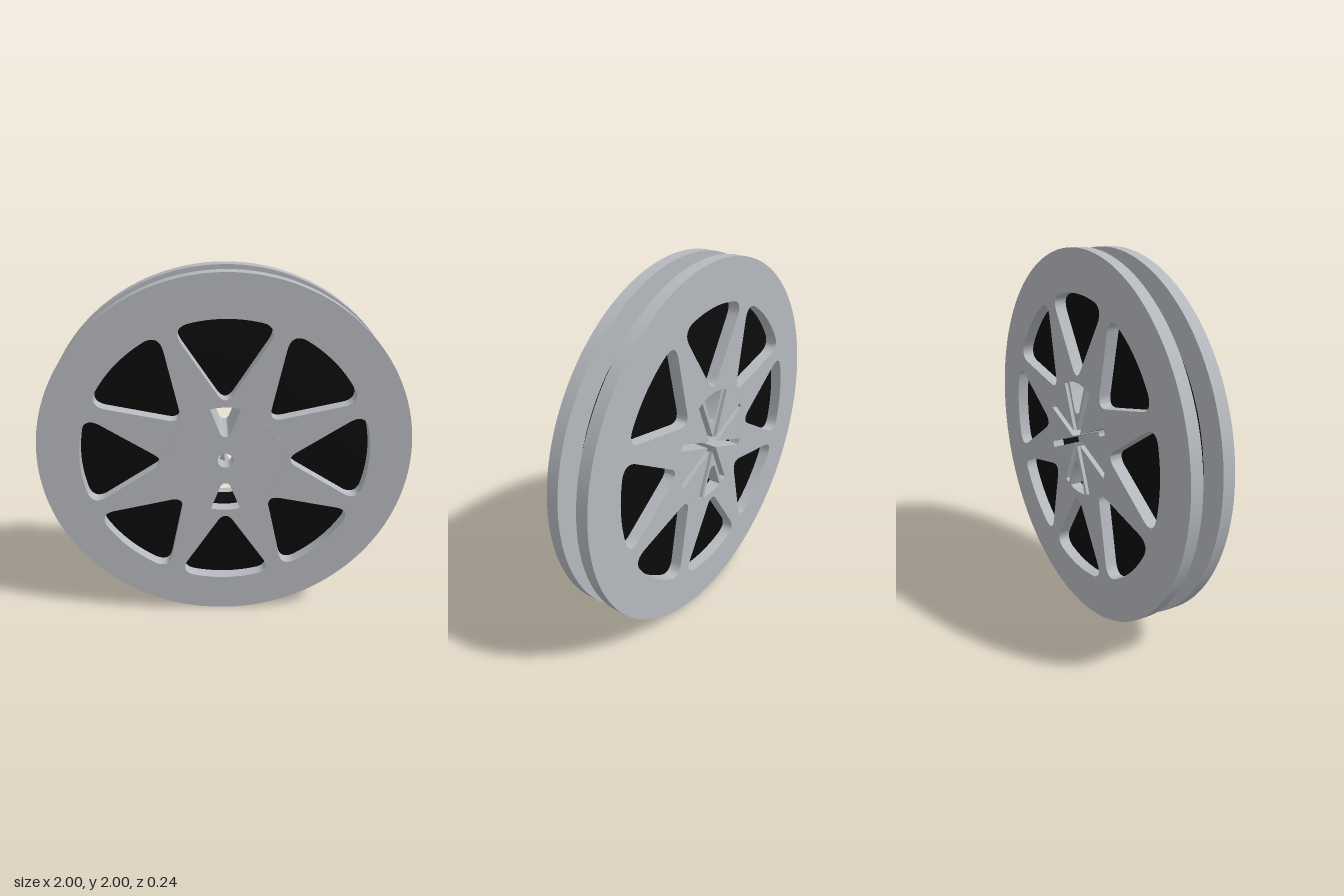
import * as THREE from 'three';
import { toCreasedNormals } from 'three/addons/utils/BufferGeometryUtils.js';

const HALF = 0.12, GAP = 0.055, HUB_R = 0.31, BORE_R = 0.042;
const STEP = Math.PI / 4;

// Flat shape pushed along z between two depths, smooth on its curved sides
function slab(shape, z0, z1, curveSegments = 12) {
  const geo = new THREE.ExtrudeGeometry(shape, { depth: z1 - z0, bevelEnabled: false, curveSegments });
  geo.translate(0, 0, z0);
  return toCreasedNormals(geo, 0.5);
}

// Rounded triangular window, apex towards the hub, turned to an angle
function windowPath(angle) {
  const s = new THREE.Shape();
  s.moveTo(-0.045, 0.385);
  s.quadraticCurveTo(0, 0.315, 0.045, 0.385);
  s.lineTo(0.22, 0.655);
  s.quadraticCurveTo(0.262, 0.725, 0.19, 0.752);
  s.quadraticCurveTo(0, 0.8, -0.19, 0.752);
  s.quadraticCurveTo(-0.262, 0.725, -0.22, 0.655);
  s.closePath();
  const c = new THREE.Vector2();
  return new THREE.Path(s.getPoints(12).map((p) => p.clone().rotateAround(c, angle)));
}

function flangeShape() {
  const s = new THREE.Shape();
  s.absarc(0, 0, 1, 0, Math.PI * 2);
  const centre = new THREE.Path();
  centre.absarc(0, 0, HUB_R, 0, Math.PI * 2);
  s.holes.push(centre);
  for (let i = 0; i < 8; i++) s.holes.push(windowPath(i * STEP));
  return s;
}

// One eighth of the hub, pointing up; gap leaves a slot beside it, notch cuts an opening
function wedgeShape(gap, notch) {
  const pts = [];
  const half = STEP / 2;
  const edge = half - Math.asin(gap / HUB_R);
  const arc = (r, from, to) => {
    for (let i = 0; i <= 6; i++) {
      const a = from + (to - from) * i / 6;
      pts.push(new THREE.Vector2(Math.sin(a) * r, Math.cos(a) * r));
    }
  };
  if (gap > 0) pts.push(new THREE.Vector2(0, gap / Math.sin(half)));
  else arc(BORE_R, -half, half);
  if (notch) {
    const n = 0.26;
    arc(HUB_R, edge, n);
    pts.push(new THREE.Vector2(0.026, 0.155), new THREE.Vector2(0.012, 0.142));
    pts.push(new THREE.Vector2(-0.012, 0.142), new THREE.Vector2(-0.026, 0.155));
    arc(HUB_R, -n, -edge);
  } else {
    arc(HUB_R, edge, -edge);
  }
  return new THREE.Shape(pts);
}

export function createModel() {
  const metal = new THREE.MeshStandardMaterial({ color: 0xb6babf });
  metal.name = 'greyMetal';
  const black = new THREE.MeshStandardMaterial({ color: 0x0b0b0b });
  black.name = 'blackFilm';

  const model = new THREE.Group();
  model.name = 'filmReel';
  const reel = new THREE.Group();
  reel.name = 'reel';
  reel.position.y = 1;
  model.add(reel);

  const add = (name, geo, mat, parent = reel) => {
    const mesh = new THREE.Mesh(geo, mat);
    mesh.name = name;
    parent.add(mesh);
    return mesh;
  };

  // Side flanges with eight windows each
  add('frontFlange', slab(flangeShape(), GAP, HALF, 64), metal);
  add('backFlange', slab(flangeShape(), -HALF, -GAP, 64), metal);

  // Wound film with softened outer edges
  const w = GAP - 0.001, r = 0.875, b = 0.015;
  const profile = [
    [0.3, -w], [r - b, -w], [r - b * 0.3, -w + b * 0.3], [r, -w + b],
    [r, w - b], [r - b * 0.3, w - b * 0.3], [r - b, w], [0.3, w], [0.3, -w],
  ].map(([x, y]) => new THREE.Vector2(x, y));
  const film = new THREE.LatheGeometry(profile, 96);
  film.rotateX(Math.PI / 2);
  add('film', toCreasedNormals(film, 0.5), black);

  // Hub: closed front plate, slotted behind, open at top and bottom
  const hub = new THREE.Group();
  hub.name = 'hub';
  reel.add(hub);
  for (let i = 0; i < 8; i++) {
    const notch = i % 4 === 0;
    const plate = add('hubPlate', slab(wedgeShape(0, notch), 0.04, HALF), metal, hub);
    const block = add('hubBlock', slab(wedgeShape(0.018, notch), -HALF, 0.04), metal, hub);
    plate.rotation.z = block.rotation.z = i * STEP;
  }
  return model;
}
